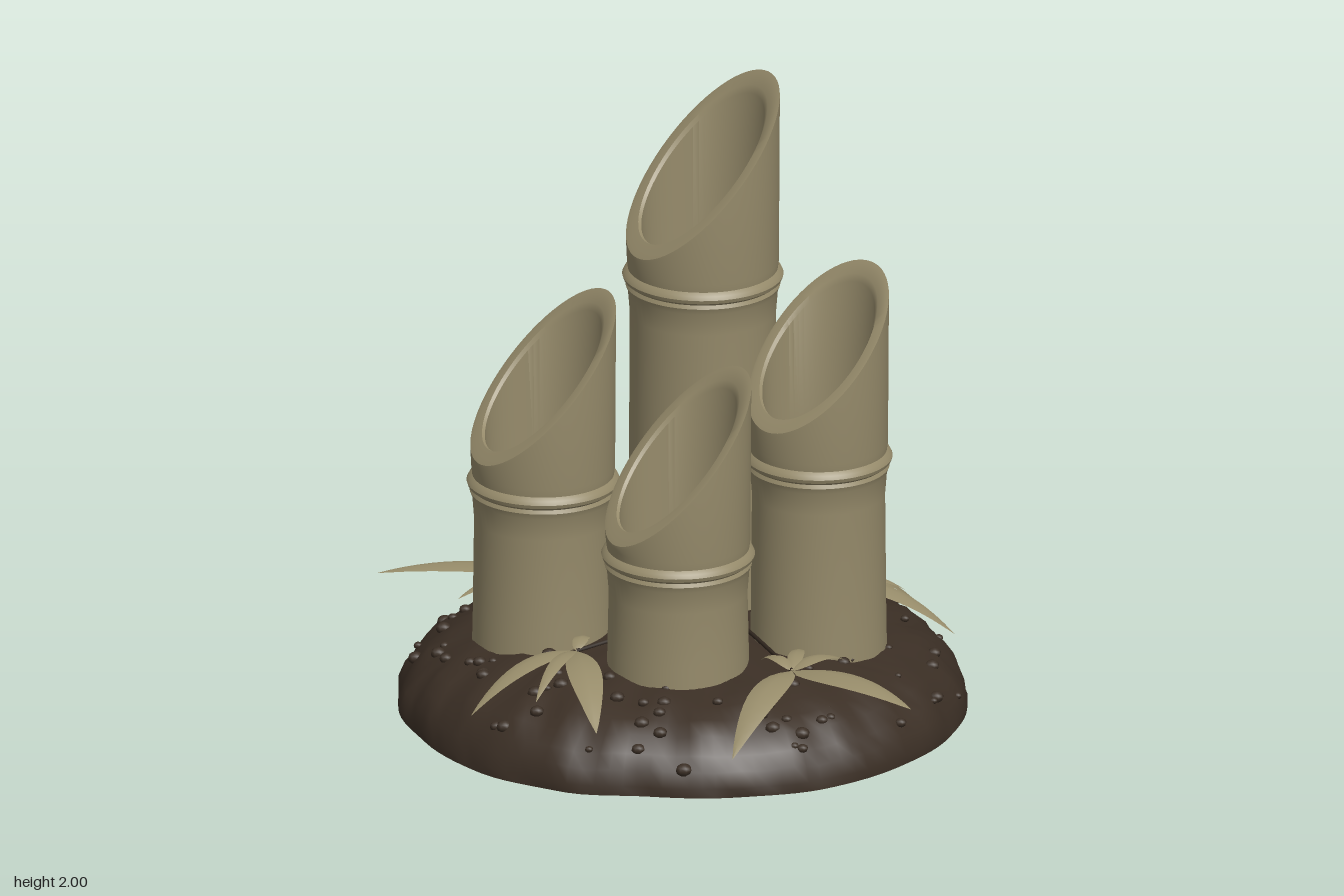
import * as THREE from 'three';
import { toCreasedNormals } from 'three/addons/utils/BufferGeometryUtils.js';

const mat = (name, color, side = THREE.FrontSide) => {
  const m = new THREE.MeshStandardMaterial({ color, side });
  m.name = name;
  return m;
};

// Mound outline: radius every 20 degrees, measured from +x towards +z
const OUTLINE = [0.89, 0.88, 0.865, 0.85, 0.845, 0.82, 0.81, 0.86, 0.89,
  0.9, 0.93, 0.95, 0.95, 0.935, 0.935, 0.985, 0.965, 0.925];
function outlineRadius(angle) {
  const n = OUTLINE.length;
  const t = ((angle / (Math.PI * 2) + 1) % 1) * n;
  const i = Math.floor(t) % n;
  const f = (1 - Math.cos((t - Math.floor(t)) * Math.PI)) / 2;
  return OUTLINE[i] * (1 - f) + OUTLINE[(i + 1) % n] * f;
}

// Mound cross-section: share of the radius, height
const PROFILE = [[1, 0], [1, 0.03], [0.98, 0.08], [0.945, 0.125], [0.89, 0.172], [0.82, 0.207],
  [0.74, 0.232], [0.66, 0.247], [0.58, 0.257], [0.5, 0.264], [0.4, 0.272], [0.28, 0.28], [0.15, 0.287], [0, 0.29]];
function soilHeight(x, z) {
  const s = Math.hypot(x, z) / outlineRadius(Math.atan2(z, x));
  for (let i = 1; i < PROFILE.length; i++) {
    const [s0, y0] = PROFILE[i - 1], [s1, y1] = PROFILE[i];
    if (s <= s0 && s >= s1 && s0 > s1) return y0 + (y1 - y0) * (s0 - s) / (s0 - s1);
  }
  return 0;
}

export function createModel() {
  const model = new THREE.Group();
  model.name = 'bambooPlanting';
  const bamboo = mat('bamboo tan', 0x958a6a);
  const leafMat = mat('dry leaf', 0x978c6a, THREE.DoubleSide);
  const soil = mat('dark soil', 0x3b2f25);
  const twigMat = mat('twig brown', 0x30261e);

  const add = (parent, name, geo, material) => {
    const mesh = new THREE.Mesh(geo, material);
    mesh.name = name;
    parent.add(mesh);
    return mesh;
  };
  let seed = 7;
  const rand = () => (seed = (seed * 16807) % 2147483647) / 2147483647;

  // Soil mound: lathe stretched to the uneven outline and roughened
  const mound = new THREE.LatheGeometry(
    [[0, 0], ...PROFILE].map(([r, y]) => new THREE.Vector2(r, y)), 120);
  const mp = mound.attributes.position;
  for (let i = 0; i < mp.count; i++) {
    let x = mp.getX(i), y = mp.getY(i), z = mp.getZ(i);
    const k = outlineRadius(Math.atan2(z, x));
    x *= k; z *= k;
    const bump = Math.sin(x * 23 + z * 9) * Math.sin(z * 19 - x * 7) + 0.6 * Math.sin(x * 41 - z * 30) * Math.sin(z * 47 + 1);
    const grow = 1 + (y > 0 ? bump * 0.007 : 0);
    mp.setXYZ(i, x * grow, y > 0.04 ? y + bump * 0.007 : y, z * grow);
  }
  add(model, 'soilMound', toCreasedNormals(mound, 0.9), soil);

  // Small clods half sunk into the mound
  const clods = new THREE.Group();
  clods.name = 'soilClods';
  model.add(clods);
  const clodGeo = new THREE.SphereGeometry(1, 8, 6);
  for (let i = 0; i < 110; i++) {
    const a = rand() * Math.PI * 2, r = outlineRadius(a) * (0.55 + 0.43 * rand());
    const x = Math.cos(a) * r, z = Math.sin(a) * r, s = 0.009 + rand() * 0.012;
    const clod = add(clods, 'clod', clodGeo, soil);
    clod.position.set(x, soilHeight(x, z), z);
    clod.scale.set(s * 1.3, s, s * 1.1);
  }

  // Hollow stalks: [x, z, radius, node height, cut height at axis, cut slope in x, cut slope in z]
  const stalks = [
    [0.145, -0.275, 0.245, 1.355, 1.73, 1.09, -0.15],
    [-0.43, -0.19, 0.232, 0.76, 1.115, 1.09, -0.1],
    [-0.135, 0.245, 0.233, 0.625, 0.96, 1.11, -0.1],
    [0.365, 0.185, 0.224, 0.87, 1.245, 0.98, -0.36],
  ];
  for (const [cx, cz, r, node, cut, sx, sz] of stalks) {
    const stalk = new THREE.Group();
    stalk.name = 'bambooStalk';
    stalk.position.set(cx, 0, cz);
    model.add(stalk);
    const low = cut - r * Math.hypot(sx, sz);
    const floorY = low - 0.07;
    // Heights above 10 follow the slanted cut
    const section = [[r - 0.004, 0.15], [r - 0.008, 0.32], [r - 0.012, node - 0.12], [r - 0.006, node - 0.045],
      [r + 0.002, node - 0.025], [r - 0.004, node - 0.013], [r + 0.008, node - 0.004], [r + 0.012, node + 0.008],
      [r + 0.006, node + 0.02], [r - 0.006, node + 0.03], [r - 0.003, node + 0.055],
      [r, 9.99], [r, 10], [r * 0.96, 10.002], [r * 0.84, 10], [r * 0.8, 9.985], [r * 0.77, floorY - 0.02]];
    const geo = new THREE.LatheGeometry(section.map(([a, b]) => new THREE.Vector2(a, b)), 64);
    const p = geo.attributes.position;
    for (let i = 0; i < p.count; i++) {
      if (p.getY(i) > 9) p.setY(i, p.getY(i) - 10 + cut + sx * p.getX(i) + sz * p.getZ(i));
    }
    add(stalk, 'stalkWall', toCreasedNormals(geo, 0.6), bamboo);
    const floor = add(stalk, 'hollowFloor', new THREE.CircleGeometry(r * 0.79, 40), soil);
    floor.rotation.x = -Math.PI / 2;
    floor.position.y = floorY;
  }

  // A leaf arches from base to tip, with a slight fold along its midrib
  function leafGeometry(base, tip, width) {
    const mid = base.clone().lerp(tip, 0.5);
    mid.y = Math.max(base.y, tip.y) + 0.06;
    const curve = new THREE.QuadraticBezierCurve3(base, mid, tip);
    const out = new THREE.Vector3(tip.z - base.z, 0, base.x - tip.x).normalize();
    const pos = [], index = [], n = 12;
    for (let i = 0; i <= n; i++) {
      const t = i / n, c = curve.getPoint(t);
      const w = width * Math.pow(Math.sin(Math.PI * Math.pow(t, 0.75)), 0.85) / 2 || 0;
      for (const s of [-1, 0, 1]) pos.push(c.x + out.x * w * s, c.y - Math.abs(s) * w * 0.25, c.z + out.z * w * s);
      if (i < n) {
        for (let j = 0; j < 2; j++) {
          const a = i * 3 + j;
          index.push(a, a + 1, a + 3, a + 1, a + 4, a + 3);
        }
      }
    }
    const geo = new THREE.BufferGeometry();
    geo.setAttribute('position', new THREE.Float32BufferAttribute(pos, 3));
    geo.setIndex(index);
    geo.computeVertexNormals();
    return geo;
  }

  const tube = (points) => new THREE.TubeGeometry(
    new THREE.CatmullRomCurve3(points.map((q) => new THREE.Vector3(...q))), 16, 0.007, 6);

  // Leaf sprays: root [x, z], then leaves [tip x, y, z, width]
  const sprays = [
    { root: [-0.29, -0.54], leaves: [[-0.79, 0.3, -0.74, 0.1], [0.17, 0.17, -0.93, 0.12], [-0.33, 0.33, -0.72, 0.04],
      [-0.28, 0.3, -0.83, 0.06], [-0.22, 0.24, -0.92, 0.06], [-0.63, 0.3, -0.43, 0.06], [-0.14, 0.3, -0.46, 0.05]] },
    { root: [0.5, -0.15], leaves: [[0.75, 0.25, -0.53, 0.1], [0.9, 0.11, -0.21, 0.1], [0.86, 0.17, 0.1, 0.1],
      [0.76, 0.27, -0.08, 0.06], [0.53, 0.32, -0.26, 0.05]] },
    { root: [0.13, 0.57], leaves: [[-0.19, 0.16, 0.88, 0.11], [0.4, 0.27, 0.93, 0.12], [0.33, 0.3, 0.51, 0.06],
      [0.23, 0.3, 0.39, 0.05], [0.08, 0.3, 0.42, 0.05]] },
    { root: [-0.45, 0.16], leaves: [[-0.85, 0.18, 0.27, 0.08], [-0.55, 0.2, 0.61, 0.11], [-0.67, 0.24, 0.38, 0.05],
      [-0.37, 0.3, 0.06, 0.05]] },
  ];
  for (const { root: [x, z], leaves } of sprays) {
    const spray = new THREE.Group();
    spray.name = 'leafSpray';
    model.add(spray);
    const base = new THREE.Vector3(x, 0.31, z);
    for (const [tx, ty, tz, w] of leaves) {
      add(spray, 'leaf', leafGeometry(base, new THREE.Vector3(tx, ty, tz), w), leafMat);
    }
    add(spray, 'sprayTwig', tube([[0.12, 0.31, -0.02], [0.06 + x * 0.45, 0.32, z * 0.5 - 0.01], [x, 0.31, z]]), twigMat);
  }

  // Short forked twig standing between the stalks
  add(model, 'twigStem', tube([[0.12, 0.26, -0.02], [0.13, 0.35, -0.03], [0.13, 0.43, -0.03]]), twigMat);
  add(model, 'twigFork', tube([[0.1, 0.43, -0.03], [0.13, 0.42, -0.03], [0.155, 0.435, -0.02]]), twigMat);
  return model;
}
